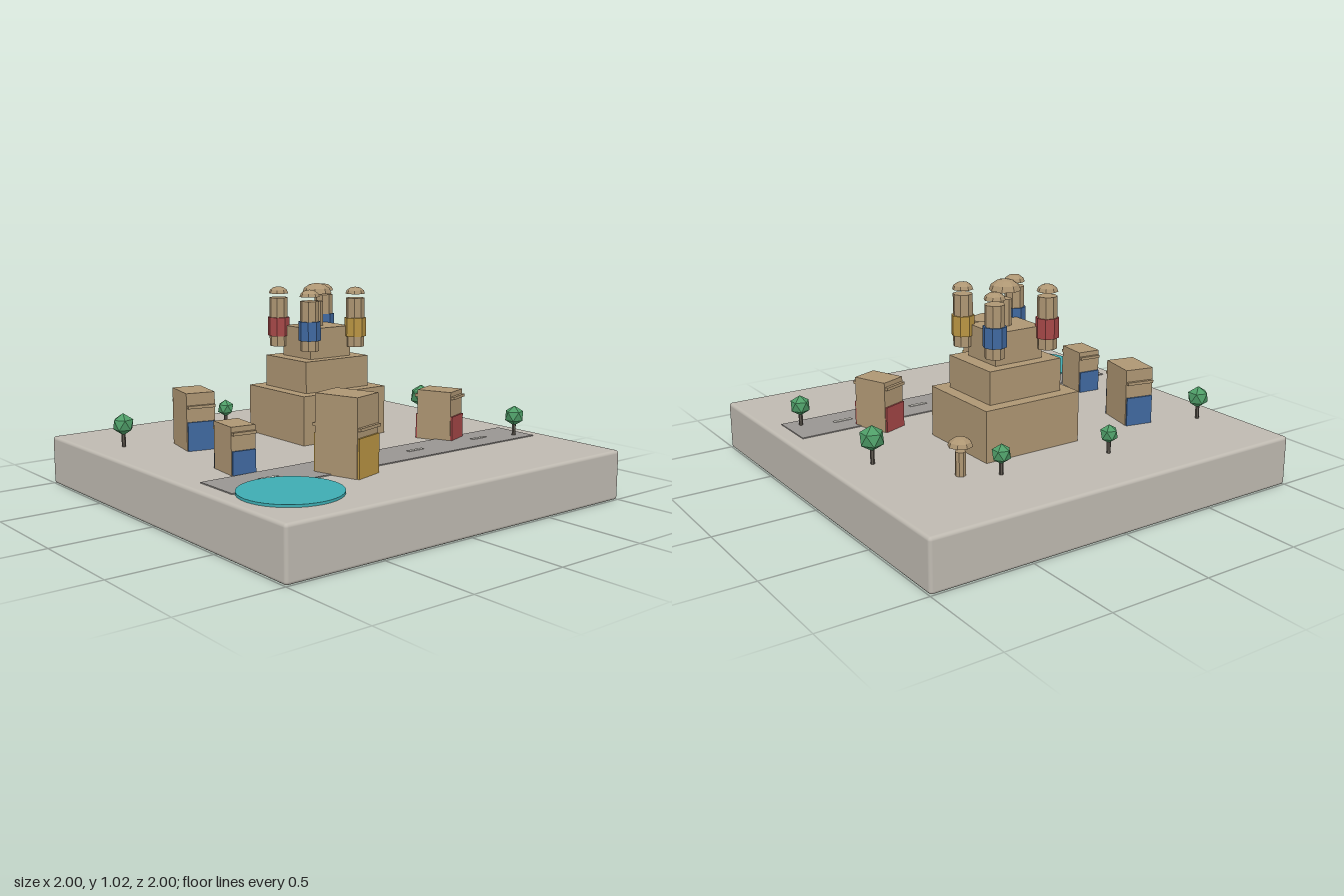
import * as THREE from 'three';
import { RoundedBoxGeometry } from 'three/addons/geometries/RoundedBoxGeometry.js';

const GROUND = 0.245;

function material(name, color) {
  const m = new THREE.MeshStandardMaterial({ color });
  m.name = name;
  return m;
}

// Faceted normals for the low-poly round parts
function faceted(geometry) {
  const g = geometry.toNonIndexed();
  g.computeVertexNormals();
  return g;
}

export function createModel() {
  const stone = material('pale stone', 0xbfbab1);
  const tan = material('sandstone', 0xae9673);
  const blue = material('blue', 0x4069a0);
  const yellow = material('ochre', 0xba9543);
  const red = material('red', 0xa64848);
  const green = material('leaf green', 0x4f9e68);
  const bark = material('bark', 0x5e584f);
  const water = material('water', 0x3eacb2);
  const asphalt = material('asphalt', 0x999592);
  const paint = material('road paint', 0xc8c5be);

  const model = new THREE.Group();
  model.name = 'townDiorama';

  function group(name, x, z, turn = 0) {
    const g = new THREE.Group();
    g.name = name;
    g.position.set(x, 0, z);
    g.rotation.y = turn;
    model.add(g);
    return g;
  }

  function add(parent, name, geometry, mat, x, y, z) {
    const mesh = new THREE.Mesh(geometry, mat);
    mesh.name = name;
    mesh.position.set(x, y, z);
    parent.add(mesh);
    return mesh;
  }

  // Box and cylinder given by their bottom and top heights
  function box(parent, name, mat, w, d, y0, y1, x = 0, z = 0) {
    return add(parent, name, new THREE.BoxGeometry(w, y1 - y0, d), mat, x, (y0 + y1) / 2, z);
  }

  function column(parent, name, mat, r, y0, y1, x = 0, z = 0, sides = 8) {
    const g = faceted(new THREE.CylinderGeometry(r, r, y1 - y0, sides));
    return add(parent, name, g, mat, x, (y0 + y1) / 2, z);
  }

  // Flattened half sphere with a closed underside
  function dome(parent, name, r, y, x = 0, z = 0) {
    const profile = [new THREE.Vector2(0, 0)];
    for (let i = 0; i <= 3; i++) {
      const a = (i / 3) * Math.PI / 2;
      profile.push(new THREE.Vector2(i === 3 ? 0 : r * Math.cos(a), 0.7 * r * Math.sin(a)));
    }
    return add(parent, name, faceted(new THREE.LatheGeometry(profile, 8)), tan, x, y, z);
  }

  // Ground slab
  add(model, 'groundSlab', new RoundedBoxGeometry(2, GROUND, 2, 3, 0.016), stone, 0, GROUND / 2, 0);

  // Road with dashes
  box(model, 'road', asphalt, 1.84, 0.24, GROUND, 0.25, 0, 0.4);
  for (let i = 0; i < 4; i++) {
    box(model, 'roadDash', paint, 0.097, 0.02, 0.25, 0.253, (i - 1.5) * 0.432, 0.4);
  }

  // Pond
  add(model, 'pond', new THREE.CylinderGeometry(0.23, 0.23, 0.012, 40), water, -0.71, GROUND + 0.006, 0.642);

  // Stepped temple
  const temple = group('temple', 0.122, -0.247);
  box(temple, 'lowerTier', tan, 0.52, 0.46, GROUND, 0.49);
  box(temple, 'middleTier', tan, 0.396, 0.337, 0.49, 0.647);
  box(temple, 'upperTier', tan, 0.257, 0.224, 0.647, 0.80);
  box(temple, 'door', blue, 0.17, 0.009, GROUND, 0.402, 0, 0.233);
  column(temple, 'spire', tan, 0.032, 0.80, 0.925);
  dome(temple, 'spireDome', 0.075, 0.964);

  // Corner towers with coloured bands
  const towers = [[-1, 1, blue], [1, 1, yellow], [1, -1, blue], [-1, -1, red]];
  for (const [sx, sz, band] of towers) {
    const x = sx * 0.146, z = sz * 0.13;
    column(temple, 'towerShaft', tan, 0.047, 0.695, 0.942, x, z);
    column(temple, 'towerBand', band, 0.055, 0.747, 0.842, x, z);
    dome(temple, 'towerDome', 0.05, 0.963, x, z);
  }

  // Houses with a ledge and a coloured panel on front and back
  const houses = [
    { x: -0.31, z: 0.52, turn: 0.288, w: 0.167, d: 0.224, top: 0.605, ledge: 0.463, mat: yellow },
    { x: 0.522, z: 0.246, turn: 0.37, w: 0.136, d: 0.182, top: 0.493, ledge: 0.463, mat: red },
    { x: -0.553, z: -0.358, turn: -0.21, w: 0.144, d: 0.2, top: 0.525, ledge: 0.459, mat: blue },
    { x: -0.677, z: 0.182, turn: -0.11, w: 0.121, d: 0.167, top: 0.463, ledge: 0.432, mat: blue },
  ];
  for (const h of houses) {
    const house = group('house', h.x, h.z, h.turn);
    box(house, 'houseBody', tan, h.w, h.d, GROUND, h.top);
    const panelTop = (GROUND + h.top) / 2;
    for (const side of [1, -1]) {
      box(house, 'housePanel', h.mat, h.w * 0.95, 0.009, GROUND, panelTop, 0, side * (h.d / 2 + 0.0045));
      box(house, 'houseLedge', tan, h.w * 0.95, 0.016, h.ledge - 0.007, h.ledge + 0.007, 0, side * (h.d / 2 + 0.008));
    }
  }

  // Small domed kiosk
  const kiosk = group('kiosk', 0.552, -0.527);
  column(kiosk, 'kioskPost', tan, 0.024, GROUND, 0.357);
  dome(kiosk, 'kioskDome', 0.057, 0.382);

  // Trees: x, z, crown radius, crown height
  const trees = [
    [-0.832, -0.558, 0.055, 0.356],
    [-0.155, -0.682, 0.045, 0.338],
    [0.4, -0.62, 0.047, 0.341],
    [0.802, -0.19, 0.061, 0.367],
    [0.845, 0.457, 0.051, 0.35],
  ];
  for (const [x, z, r, y] of trees) {
    const tree = group('tree', x, z);
    column(tree, 'trunk', bark, 0.01, GROUND, y, 0, 0, 6);
    const crown = new THREE.IcosahedronGeometry(r, 0);
    crown.rotateZ(Math.atan(2 / (1 + Math.sqrt(5)))); // one corner straight up
    add(tree, 'crown', crown, green, 0, y, 0);
  }

  return model;
}
